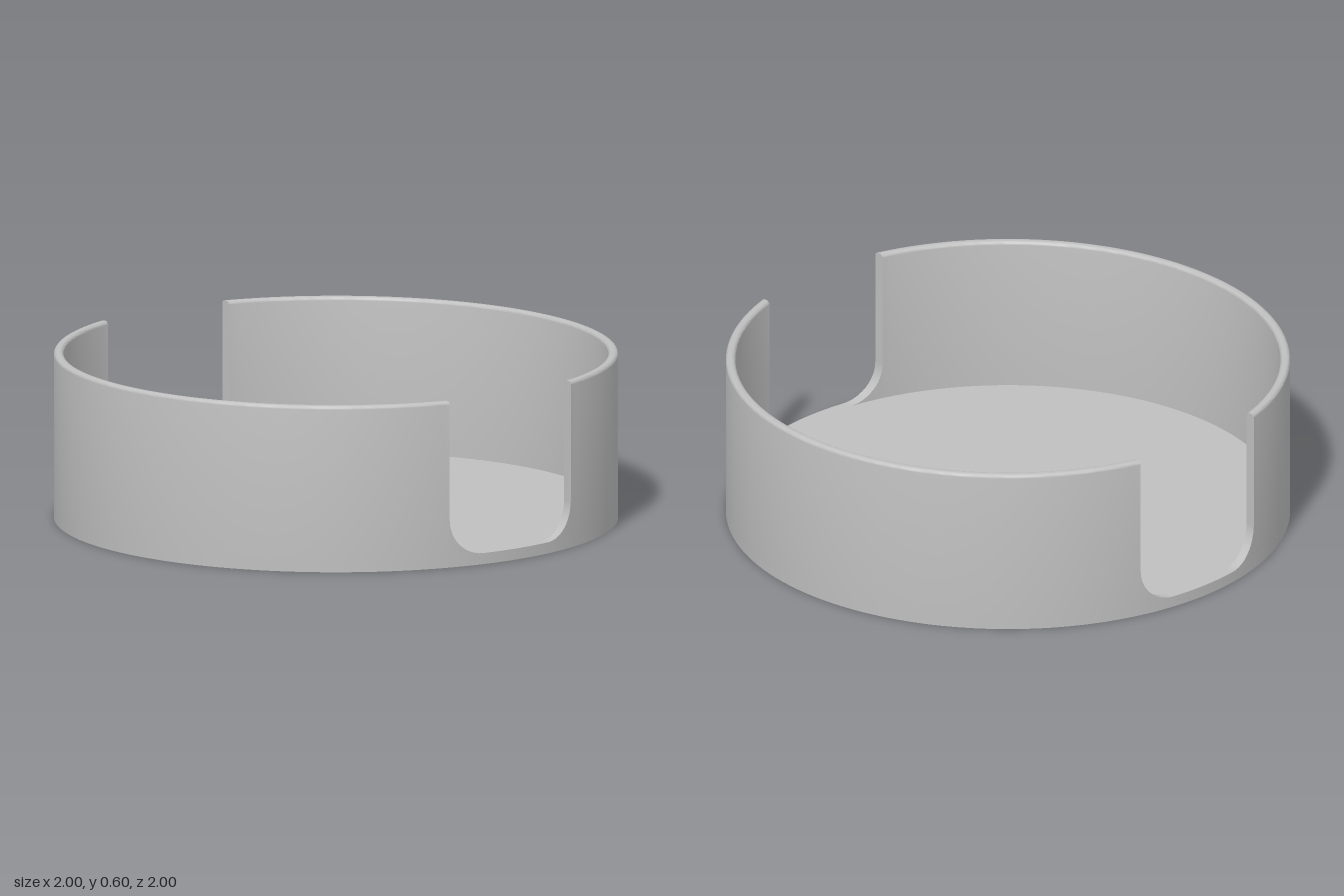
import * as THREE from 'three';
import { toCreasedNormals } from 'three/addons/utils/BufferGeometryUtils.js';

const OUTER = 1, INNER = 0.965, HEIGHT = 0.6, FLOOR = 0.04;
const NOTCH = 0.28, CORNER = 0.13, ROUND = 0.013; // notch half width, its corner radius, rim rounding

// Wall cross-section as [radius, y], from inner foot over the rim to outer foot
function profile(top, round) {
  const points = [[INNER, FLOOR]];
  for (const [r, start] of [[INNER + round, Math.PI], [OUTER - round, Math.PI / 2]]) {
    for (let i = 0; i <= 4; i++) {
      const a = start - (i / 4) * Math.PI / 2;
      points.push([r + round * Math.cos(a), top - round + round * Math.sin(a)]);
    }
  }
  points.push([OUTER, FLOOR]);
  return points;
}

// Section at fraction t of the arc that runs between both cuts at depth z
function section(z, top, round, t) {
  return profile(top, round).map(([r, y]) => {
    const a = t * Math.acos(z / r);
    return [r * Math.sin(a), y, r * Math.cos(a)];
  });
}

function wallGeometry() {
  // Rounded lower corner of the notch, one end of the wall
  const corner = (t) => Array.from({ length: 13 }, (_, i) => {
    const a = (i / 12) * Math.PI / 2;
    return section(NOTCH - CORNER + CORNER * Math.sin(a), FLOOR + CORNER * (1 - Math.cos(a)), 0, t);
  });
  const main = Array.from({ length: 97 }, (_, i) => section(NOTCH, HEIGHT, ROUND, i / 48 - 1));
  const rows = [...corner(-1), ...main, ...corner(1).reverse()];

  const positions = [];
  for (let s = 0; s < rows.length - 1; s++) {
    for (let i = 0; i < rows[s].length - 1; i++) {
      const a = rows[s][i], b = rows[s][i + 1], c = rows[s + 1][i + 1], d = rows[s + 1][i];
      positions.push(...a, ...b, ...c, ...a, ...c, ...d);
    }
  }
  const geometry = new THREE.BufferGeometry();
  geometry.setAttribute('position', new THREE.Float32BufferAttribute(positions, 3));
  return toCreasedNormals(geometry, 0.6);
}

export function createModel() {
  const grey = new THREE.MeshStandardMaterial({ color: 0xbfbfbf });
  grey.name = 'grey';
  const group = new THREE.Group();
  group.name = 'roundHolder';

  // Flat round base
  const base = new THREE.Mesh(new THREE.CylinderGeometry(OUTER, OUTER, FLOOR, 192), grey);
  base.name = 'base';
  base.position.y = FLOOR / 2;
  group.add(base);

  // Two curved walls with the finger notches between them
  const wall = wallGeometry();
  ['frontWall', 'backWall'].forEach((name, i) => {
    const mesh = new THREE.Mesh(wall, grey);
    mesh.name = name;
    mesh.rotation.y = i * Math.PI;
    group.add(mesh);
  });
  return group;
}
